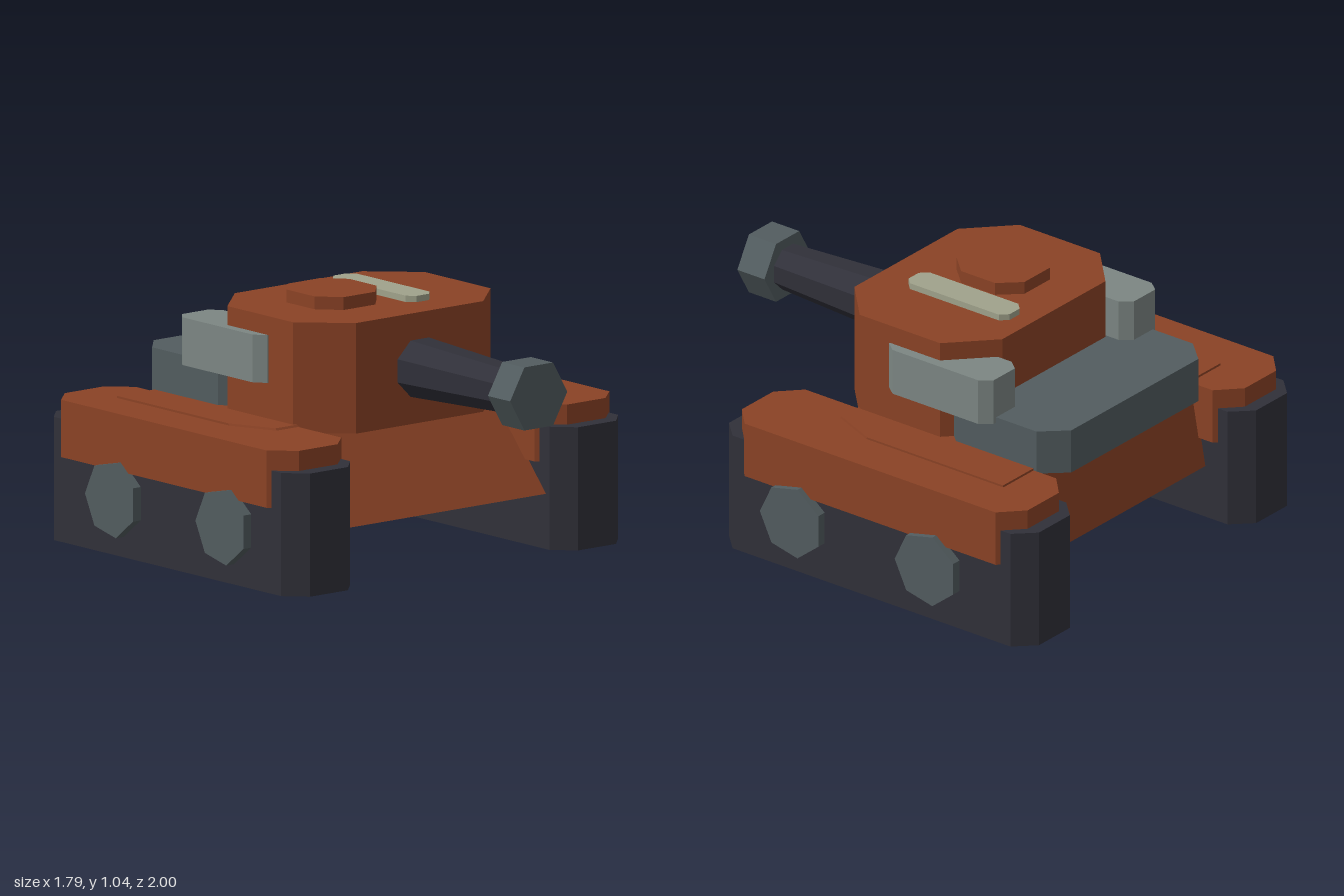
import * as THREE from 'three';

const paint = (name, color) => {
  const m = new THREE.MeshStandardMaterial({ color });
  m.name = name;
  return m;
};

// Flat-faced copy of a geometry
function faceted(geometry) {
  const g = geometry.index ? geometry.toNonIndexed() : geometry;
  g.computeVertexNormals();
  return g;
}

// Upright prism from a plan outline given as [x, z] points
function prism(outline, y0, y1) {
  const shape = new THREE.Shape(outline.map(([x, z]) => new THREE.Vector2(x, -z)));
  const g = new THREE.ExtrudeGeometry(shape, { depth: y1 - y0, bevelEnabled: false });
  return g.rotateX(-Math.PI / 2).translate(0, y0, 0);
}

// Rectangular plan with cut corners (cx along x, cz along z)
function cutRect(x0, x1, z0, z1, cx, cz) {
  return [
    [x0 + cx, z1], [x1 - cx, z1], [x1, z1 - cz], [x1, z0 + cz],
    [x1 - cx, z0], [x0 + cx, z0], [x0, z0 + cz], [x0, z1 - cz],
  ];
}

export function createModel() {
  const model = new THREE.Group();
  model.name = 'tank';

  const rust = paint('rust armour', 0x8a4225);
  const rubber = paint('dark track', 0x303039);
  const steel = paint('dark steel', 0x525c5f);
  const grey = paint('light grey', 0x7c8683);
  const pale = paint('pale strip', 0xa0a28b);

  const add = (name, geometry, material) => {
    const mesh = new THREE.Mesh(geometry, material);
    mesh.name = name;
    model.add(mesh);
    return mesh;
  };

  // Hull: six-sided plan whose top is drawn back to slope the front plate
  const hull = prism([
    [-0.6, 0.44], [0.6, 0.44], [0.68, 0.165], [0.68, -0.81], [-0.68, -0.81], [-0.68, 0.165],
  ], 0.22, 0.578);
  const p = hull.attributes.position;
  for (let i = 0; i < p.count; i++) {
    if (p.getY(i) > 0.4) p.setZ(i, -0.745 + (p.getZ(i) + 0.81) * (0.865 / 1.25));
  }
  add('hull', faceted(hull), rust);

  // Tracks, fenders, wheels and turret side boxes on both sides
  for (const s of [1, -1]) {
    const side = s > 0 ? 'left' : 'right';
    const pair = (a, b) => (s > 0 ? [a, b] : [-b, -a]);
    add(side + 'Track', prism(cutRect(...pair(0.505, 0.855), -1, 0.54, 0.078, 0.08), 0, 0.49), rubber);
    add(side + 'Fender', prism(cutRect(...pair(0.49, 0.87), -0.945, 0.475, 0.092, 0.087), 0.342, 0.57), rust);
    add(side + 'TurretBox', prism(cutRect(...pair(0.335, 0.543), -0.56, -0.04, 0.037, 0.047), 0.72, 0.91), grey);
    for (const z of [0.14, -0.53]) {
      const wheel = add(side + 'Wheel', faceted(new THREE.CylinderGeometry(0.153, 0.153, 0.1, 7)), steel);
      wheel.rotation.set(0, s > 0 ? 0 : Math.PI, Math.PI / 2);
      wheel.position.set(s * 0.845, 0.23, z);
    }
  }

  // Engine deck behind the turret
  add('engineDeck', prism(cutRect(-0.49, 0.49, -0.86, -0.26, 0.092, 0.1), 0.56, 0.743), steel);

  // Turret with hatch and roof strip
  add('turret', prism(cutRect(-0.502, 0.5, -0.457, 0.278, 0.178, 0.168), 0.545, 0.985), rust);
  add('hatch', prism(cutRect(-0.28, 0.036, -0.278, 0.058, 0.078, 0.084), 0.97, 1.036), rust);
  add('roofStrip', prism(cutRect(0.08, 0.202, -0.375, 0.127, 0.03, 0.03), 0.97, 1.01), pale);

  // Gun: tapered eight-sided barrel and hexagonal muzzle
  const barrel = new THREE.CylinderGeometry(0.092, 0.125, 0.68, 8).rotateY(Math.PI / 8).rotateX(Math.PI / 2);
  add('barrel', faceted(barrel), rubber).position.set(0, 0.766, 0.54);
  const muzzle = new THREE.CylinderGeometry(0.145, 0.145, 0.135, 6).rotateY(Math.PI / 6).rotateX(Math.PI / 2);
  add('muzzle', faceted(muzzle), steel).position.set(0, 0.766, 0.9325);

  return model;
}
